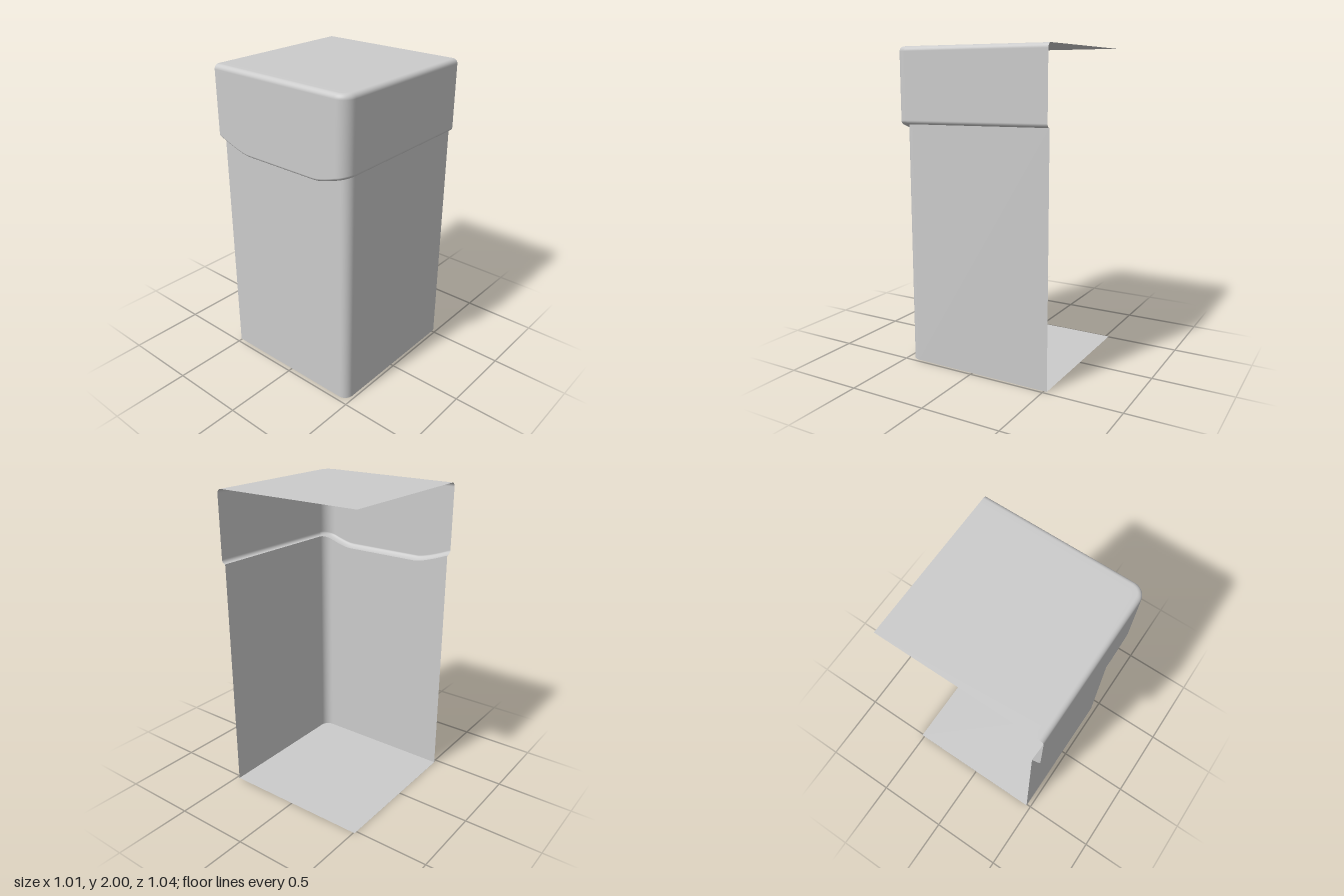
import * as THREE from 'three';

const FRONT = 28, CORNER = 10;
const BACK = -0.52, HEIGHT = 2;
const material = new THREE.MeshStandardMaterial({ color: 0xcccccc, side: THREE.DoubleSide });

// Plan outline: along the front, round the corner, then back along the +x side.
function plan(left, right, front, r) {
  const pts = [];
  for (let i = 0; i < FRONT; i++) {
    pts.push([THREE.MathUtils.lerp(left, right - r, i / FRONT), front]);
  }
  for (let i = 0; i <= CORNER; i++) {
    const a = (i / CORNER) * Math.PI / 2;
    pts.push([right - r + r * Math.sin(a), front - r + r * Math.cos(a)]);
  }
  pts.push([right, BACK]);
  return pts;
}

// Skin a stack of equal-length rows of points, bottom to top.
function loft(rows) {
  const n = rows[0].length, index = [];
  for (let j = 0; j < rows.length - 1; j++) {
    for (let i = 0; i < n - 1; i++) {
      const a = j * n + i, b = a + n;
      index.push(a, a + 1, b + 1, a, b + 1, b);
    }
  }
  return build(rows.flat(), index);
}

// Flat panel between an outline and the open back corner.
function panel(outline, y, up) {
  const pts = [[outline[0][0], y, BACK], ...outline.map(([x, z]) => [x, y, z])];
  const index = [];
  for (let i = 1; i < pts.length - 1; i++) index.push(0, up ? i : i + 1, up ? i + 1 : i);
  return build(pts, index);
}

function build(points, index) {
  const g = new THREE.BufferGeometry();
  g.setAttribute('position', new THREE.Float32BufferAttribute(points.flat(), 3));
  g.setIndex(index);
  g.computeVertexNormals();
  return g;
}

// Height of the lid's lower edge: dips in the middle of the front.
function seamHeight(x) {
  const t = THREE.MathUtils.clamp((Math.abs(x) - 0.27) / 0.235, 0, 1);
  return 1.47 + 0.073 * Math.pow(t, 1.35);
}

export function createModel() {
  const group = new THREE.Group();
  const add = (name, geometry) => {
    const mesh = new THREE.Mesh(geometry, material);
    mesh.name = name;
    group.add(mesh);
  };

  const body = plan(-0.508, 0.48, 0.47, 0.06);
  const lid = (inset) => plan(-0.502, 0.505 - inset, 0.52 - inset, 0.08 - inset);
  const seam = body.map(([x, z], i) => seamHeight(i > FRONT + CORNER ? 0.505 : x));

  // Lower walls, up to the lid's edge
  add('bodyWalls', loft([
    body.map(([x, z]) => [x, 0, z]),
    body.map(([x, z], i) => [x, seam[i], z]),
  ]));
  add('base', panel(body, 0, false));

  // Lid walls: rounded lip, upright side, rounded top edge
  const outer = lid(0), rows = [], STEPS = 6, lip = 0.025, bevel = 0.03;
  for (let s = 0; s <= STEPS; s++) {
    const a = (s / STEPS) * Math.PI / 2, k = Math.sin(a);
    rows.push(body.map(([x, z], i) => [
      THREE.MathUtils.lerp(x, outer[i][0], k),
      seam[i] + lip * (1 - Math.cos(a)),
      THREE.MathUtils.lerp(z, outer[i][1], k),
    ]));
  }
  for (let s = 0; s <= STEPS; s++) {
    const a = (s / STEPS) * Math.PI / 2;
    const y = HEIGHT - bevel + bevel * Math.sin(a);
    rows.push(lid(bevel * (1 - Math.cos(a))).map(([x, z]) => [x, y, z]));
  }
  const rim = lid(0.06);
  rows.push(rim.map(([x, z]) => [x, HEIGHT, z]));
  add('lidWalls', loft(rows));
  add('lidTop', panel(rim, HEIGHT, true));

  return group;
}
